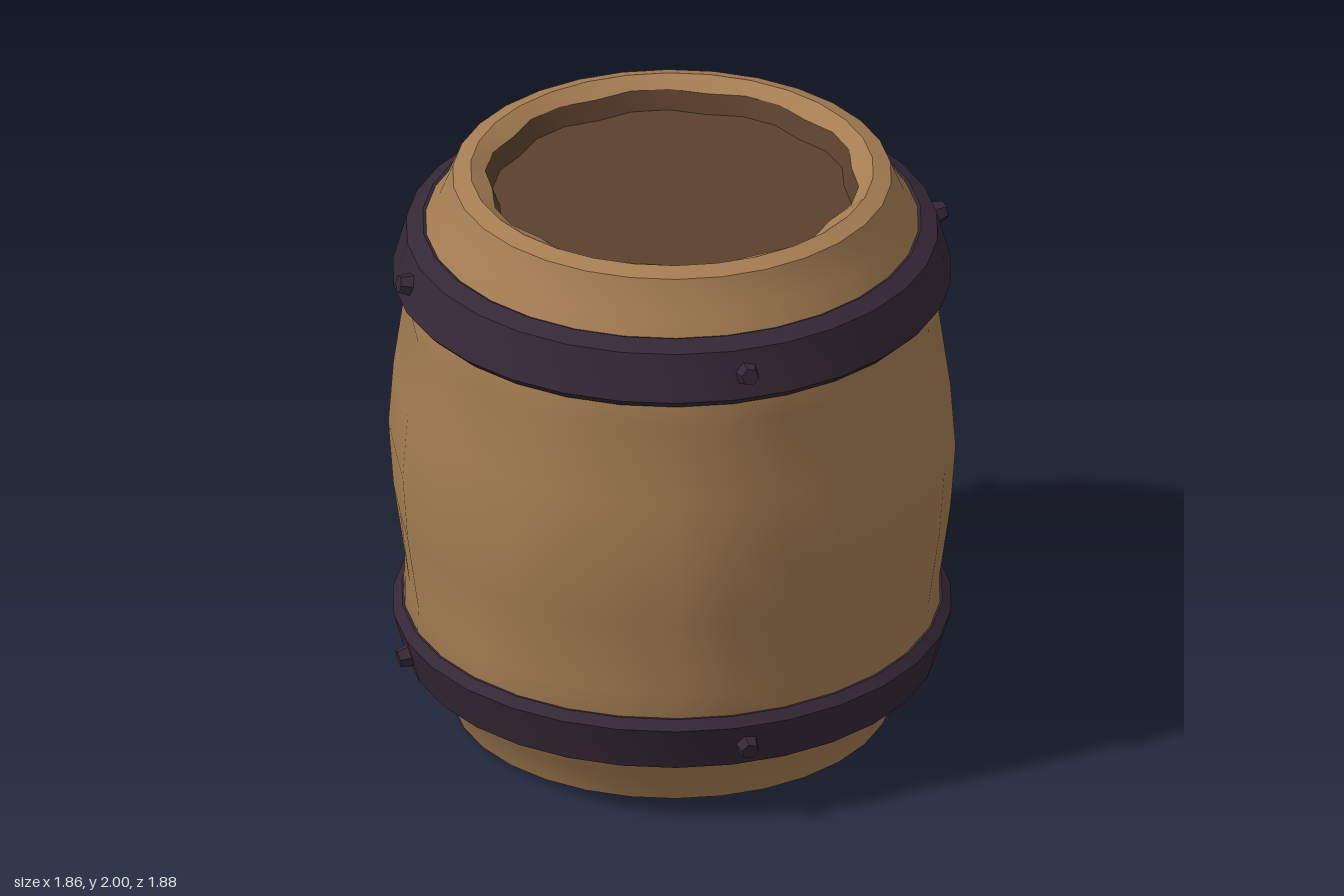
import * as THREE from 'three';
import { toCreasedNormals } from 'three/addons/utils/BufferGeometryUtils.js';

const SIDES = 30; // ten staves, three segments each

// Lathe a profile of [radius, height, staveBulge]; the bulge skips the seam between staves.
function staveLathe(profile, crease) {
  const points = profile.map(([r, y]) => new THREE.Vector2(r, y));
  const geometry = new THREE.LatheGeometry(points, SIDES, THREE.MathUtils.degToRad(6));
  const position = geometry.attributes.position;
  for (let i = 0; i <= SIDES; i++) {
    if (i % 3 === 1) continue;
    profile.forEach(([r, , bulge = 0], j) => {
      if (!bulge) return;
      const k = i * profile.length + j;
      const s = (r + bulge) / r;
      position.setX(k, position.getX(k) * s);
      position.setZ(k, position.getZ(k) * s);
    });
  }
  return toCreasedNormals(geometry, crease);
}

export function createModel() {
  const wood = new THREE.MeshStandardMaterial({ color: 0xa57d52 });
  wood.name = 'lightWood';
  const darkWood = new THREE.MeshStandardMaterial({ color: 0x5c402e });
  darkWood.name = 'darkWood';
  const iron = new THREE.MeshStandardMaterial({ color: 0x352836 });
  iron.name = 'darkIron';

  const barrel = new THREE.Group();
  barrel.name = 'barrel';
  const add = (name, geometry, material, parent = barrel) => {
    const mesh = new THREE.Mesh(geometry, material);
    mesh.name = name;
    parent.add(mesh);
    return mesh;
  };

  // Bulging stave body, with a lip turned in at both ends
  add('body', staveLathe([
    [0.645, 0.025, 0.012], [0.67, 0], [0.73, 0.02], [0.775, 0.13], [0.825, 0.2],
    [0.893, 0.4], [0.877, 0.5, 0.013], [0.91, 0.77, 0.018], [0.925, 1, 0.02],
    [0.91, 1.23, 0.018], [0.877, 1.5, 0.013], [0.893, 1.6], [0.825, 1.8],
    [0.775, 1.87], [0.73, 1.98], [0.67, 2], [0.6, 1.965, 0.022],
  ], 0.75), wood);

  // Sunken lid with its short wall, and the underside
  add('lid', staveLathe([[0.6, 1.965, 0.022], [0.575, 1.9, 0.022], [0, 1.9]], 0.5), darkWood);
  add('underside', staveLathe([[0, 0.02], [0.65, 0.02, 0.012]], 0.5), darkWood);

  // Two mirrored hoops, each with four rivets
  const hoopProfile = [[0.87, 1.59], [0.9, 1.59], [0.93, 1.62], [0.885, 1.78], [0.83, 1.81], [0.8, 1.8]];
  const rivetGeometry = new THREE.CylinderGeometry(0.03, 0.048, 0.07, 6).toNonIndexed();
  rivetGeometry.computeVertexNormals();
  for (const top of [true, false]) {
    const hoop = new THREE.Group();
    hoop.name = top ? 'upperHoop' : 'lowerHoop';
    barrel.add(hoop);
    const profile = top ? hoopProfile : hoopProfile.map(([r, y]) => [r, 2 - y]).reverse();
    add('band', staveLathe(profile, 0.4), iron, hoop);
    for (let i = 0; i < 4; i++) {
      const angle = Math.PI / 4 + i * Math.PI / 2;
      const out = new THREE.Vector3(Math.cos(angle), top ? 0.2 : -0.2, Math.sin(angle)).normalize();
      const rivet = add('rivet', rivetGeometry, iron, hoop);
      rivet.position.set(Math.cos(angle) * 0.91, top ? 1.7 : 0.3, Math.sin(angle) * 0.91);
      rivet.quaternion.setFromUnitVectors(new THREE.Vector3(0, 1, 0), out);
    }
  }
  return barrel;
}
